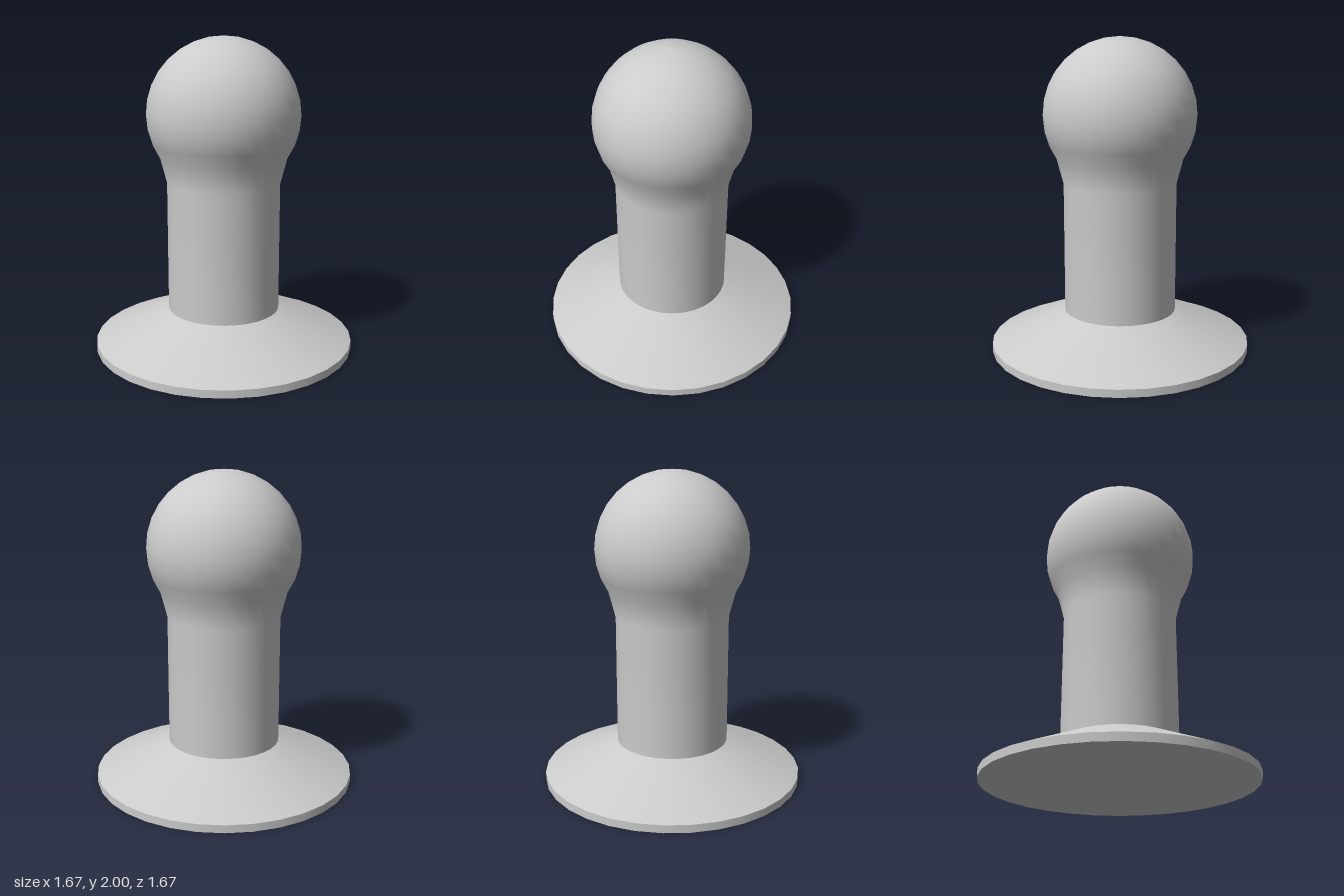
import * as THREE from 'three';

const SIDES = 32;
const material = new THREE.MeshStandardMaterial({ color: 0xcccccc });

function addPart(group, name, geometry, y = 0) {
  const mesh = new THREE.Mesh(geometry, material);
  mesh.name = name;
  mesh.position.y = y;
  group.add(mesh);
}

export function createModel() {
  const group = new THREE.Group();
  group.name = 'ballTopPeg';

  const baseRadius = 0.835, rimHeight = 0.05, baseHeight = 0.25;
  const stemRadius = 0.36, stemTop = 1.08;
  const ballRadius = 0.485, ballCentre = 2 - ballRadius;

  // Base: thin rim closed underneath, with a sloping skirt above
  const rim = new THREE.CylinderGeometry(baseRadius, baseRadius, rimHeight, SIDES);
  addPart(group, 'baseRim', rim, rimHeight / 2);
  const skirtHeight = baseHeight - rimHeight;
  const skirt = new THREE.CylinderGeometry(stemRadius, baseRadius, skirtHeight, SIDES, 1, true);
  addPart(group, 'baseSkirt', skirt, rimHeight + skirtHeight / 2);

  // Stem flaring smoothly into the ball, as one turned profile
  const profile = [
    new THREE.Vector2(stemRadius, baseHeight),
    new THREE.Vector2(stemRadius, stemTop),
  ];
  for (let i = -3; i <= 8; i++) {
    const a = (i * Math.PI) / 16;
    const r = i === 8 ? 0 : ballRadius * Math.cos(a);
    profile.push(new THREE.Vector2(r, ballCentre + ballRadius * Math.sin(a)));
  }
  addPart(group, 'stemAndBall', new THREE.LatheGeometry(profile, SIDES));

  return group;
}
